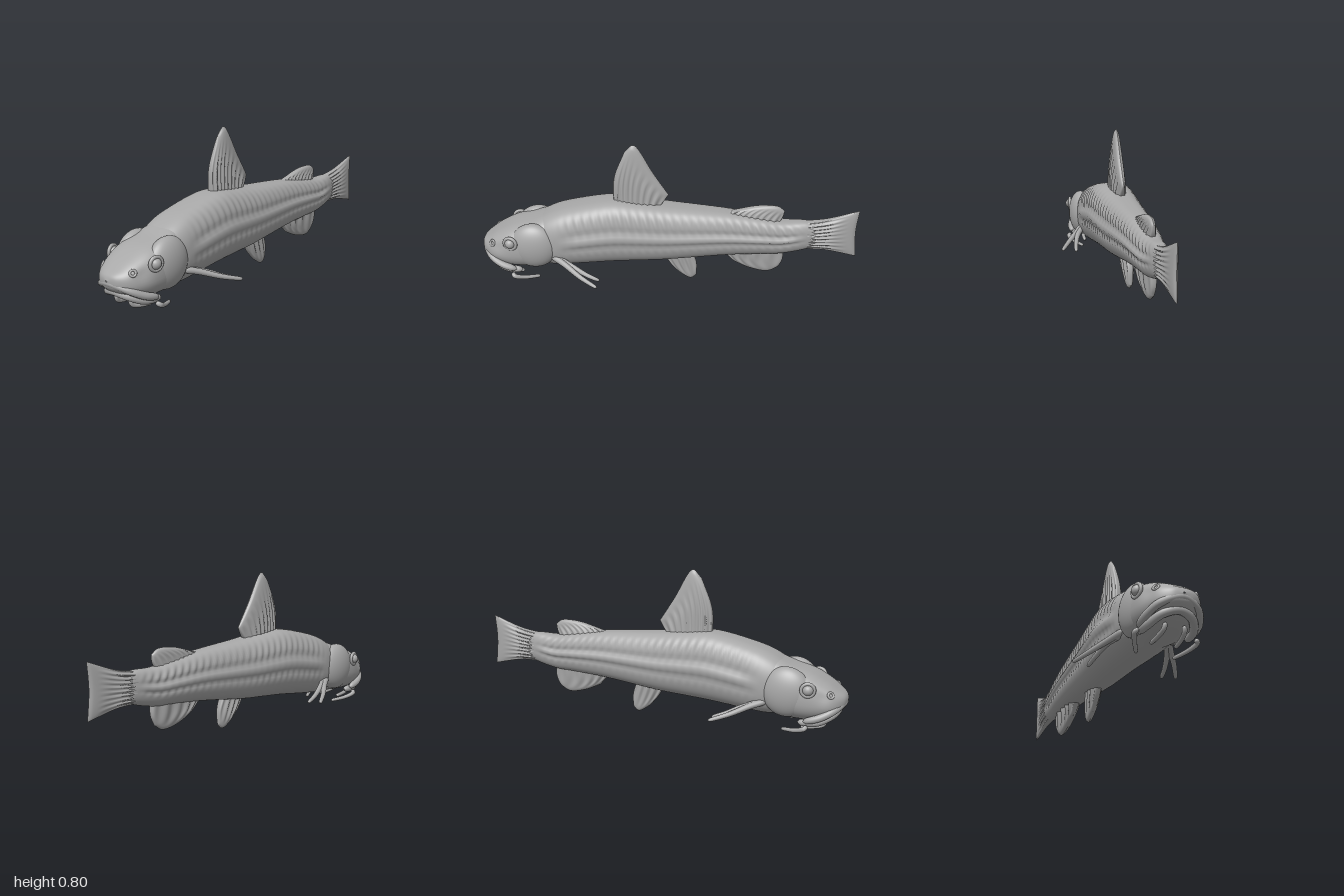
import * as THREE from 'three';

const skin = new THREE.MeshStandardMaterial({ color: 0xa8a8a8 });
skin.name = 'grey skin';

const v3 = (x, y, z = 0) => new THREE.Vector3(x, y, z);
const spow = (n, p) => Math.sign(n) * Math.pow(Math.abs(n), p);
const bump = (t, c, w) => Math.exp(-(((t - c) / w) ** 2));
const spline = pts => new THREE.CatmullRomCurve3(pts, false, 'catmullrom', 0.5);

// Smooth skin over rings: point(s, a) with s from 0 to 1 and a around the ring
function skinRings(point, rings, sides) {
  const pos = [], index = [], mid = v3(0, 0);
  for (let i = 0; i <= rings; i++) {
    for (let j = 0; j < sides; j++) {
      const p = point(i / rings, (j / sides) * Math.PI * 2);
      pos.push(p.x, p.y, p.z);
      mid.add(p);
    }
  }
  mid.divideScalar(pos.length / 3);
  const at = k => v3(pos[3 * k], pos[3 * k + 1], pos[3 * k + 2]).sub(mid);
  let volume = 0;
  const face = (a, b, c) => {
    index.push(a, b, c);
    volume += at(a).dot(at(b).cross(at(c)));
  };
  for (let i = 0; i < rings; i++) {
    for (let j = 0; j < sides; j++) {
      const k = (j + 1) % sides;
      const a = i * sides + j, b = i * sides + k, c = a + sides, d = b + sides;
      face(a, b, c);
      face(b, d, c);
    }
  }
  if (volume < 0) index.reverse(); // keep faces outward
  const g = new THREE.BufferGeometry();
  g.setAttribute('position', new THREE.Float32BufferAttribute(pos, 3));
  g.setIndex(index);
  g.computeVertexNormals();
  return g;
}

// Boxy oval hull through stations [x, top, bottom, half width]
function hull(stations, rings, sides, relief) {
  const upper = spline(stations.map(s => v3(s[0], s[1], s[3])));
  const lower = spline(stations.map(s => v3(s[0], s[2])));
  return skinRings((s, a) => {
    const u = upper.getPoint(s), l = lower.getPoint(s);
    const t = spow(Math.sin(a), 0.85);
    const y = (u.y + l.y) / 2 + (t * (u.y - l.y)) / 2;
    const z = u.z * spow(Math.cos(a), t > 0 ? 0.65 : 0.8);
    return v3(u.x, y, z + Math.sign(z) * relief(u.x, t) * Math.min(1, Math.abs(z) / 0.03));
  }, rings, sides);
}

// Thick fin through rows of [x, y] from root to rim, with raised rays
function fin(rows, thick, thin, rays) {
  const curves = rows.map(r => spline(r.map(p => v3(p[0], p[1]))));
  return skinRings((s, a) => {
    const u = (1 - Math.cos(a)) / 2;
    const p = spline(curves.map(c => c.getPoint(u))).getPoint(s);
    const ray = 1 + 0.22 * Math.cos(u * rays * Math.PI * 2) * Math.sin(Math.PI * Math.min(1, s + 0.15));
    const w = (thick + (thin - thick) * s) * Math.sqrt(1 - s ** 10);
    p.z = w * spow(Math.sin(a), 0.6) * ray;
    return p;
  }, 30, 96);
}

// Round strand with tapered, closed ends
function strand(points, r0, r1) {
  const c = spline(points.map(p => v3(...p)));
  const frames = c.computeFrenetFrames(40, false);
  return skinRings((s, a) => {
    const k = Math.round(s * 40);
    const r = (r0 + (r1 - r0) * s) * Math.sqrt(Math.max(0, 1 - Math.abs(2 * s - 1) ** 14));
    return c.getPointAt(s)
      .addScaledVector(frames.normals[k], r * Math.cos(a))
      .addScaledVector(frames.binormals[k], r * Math.sin(a));
  }, 40, 12);
}

export function createModel() {
  const fish = new THREE.Group();
  fish.name = 'catfish';
  const add = (name, geometry, x = 0, y = 0, z = 0) => {
    const m = new THREE.Mesh(geometry, skin);
    m.name = name;
    m.position.set(x, y, z);
    fish.add(m);
    return m;
  };

  // Trunk with lateral ridge and muscle ribs
  const ribs = (x, t) => {
    const fade = THREE.MathUtils.smoothstep(x, -0.6, -0.45) * (1 - THREE.MathUtils.smoothstep(x, 0.6, 0.75));
    const wave = Math.sin((x + 0.05 * t) * 140);
    return fade * (0.011 * bump(t, 0.02, 0.11) - 0.006 * bump(t, 0.27, 0.12) - 0.005 * bump(t, -0.22, 0.1)
      + wave * (0.0035 * bump(t, 0.55, 0.28) + 0.002 * bump(t, -0.28, 0.13)));
  };
  add('body', hull([
    [-0.74, 0.34, 0.13, 0.1], [-0.62, 0.41, 0.1, 0.134], [-0.5, 0.45, 0.105, 0.138],
    [-0.3, 0.488, 0.125, 0.134], [-0.15, 0.478, 0.135, 0.126], [0, 0.46, 0.145, 0.115],
    [0.3, 0.433, 0.178, 0.09], [0.48, 0.405, 0.19, 0.076], [0.6, 0.385, 0.195, 0.062],
    [0.72, 0.385, 0.22, 0.044], [0.8, 0.36, 0.25, 0.02], [0.84, 0.31, 0.3, 0.003],
  ], 300, 72, ribs));

  // Head with a shallow brow hollow
  add('head', hull([
    [-0.998, 0.212, 0.206, 0.004], [-0.985, 0.237, 0.17, 0.055], [-0.95, 0.263, 0.14, 0.1],
    [-0.9, 0.297, 0.112, 0.128], [-0.82, 0.337, 0.095, 0.148], [-0.72, 0.365, 0.095, 0.15],
    [-0.63, 0.398, 0.105, 0.128], [-0.57, 0.395, 0.13, 0.1], [-0.54, 0.3, 0.28, 0.004],
  ], 70, 56, (x, t) => -0.008 * bump(x, -0.89, 0.04) * bump(t, 0.35, 0.3)));

  // Lips wrapping around the snout
  const wrap = half => [...half, ...half.slice(0, -1).reverse().map(([x, y, z]) => [x, y, -z])];
  add('upperLip', strand(wrap([[-0.8, 0.11, 0.134], [-0.88, 0.135, 0.126],
    [-0.945, 0.17, 0.088], [-0.979, 0.196, 0]]), 0.019, 0.019));
  add('lowerLip', strand(wrap([[-0.77, 0.1, 0.118], [-0.86, 0.103, 0.108],
    [-0.925, 0.13, 0.07], [-0.95, 0.147, 0]]), 0.02, 0.02));

  // Dorsal, adipose, anal, pelvic and tail fins
  add('dorsalFin', fin([
    [[-0.285, 0.44], [-0.18, 0.45], [-0.06, 0.43]],
    [[-0.284, 0.6], [-0.17, 0.6], [-0.025, 0.48]],
    [[-0.225, 0.762], [-0.168, 0.795], [-0.08, 0.645], [0, 0.52]],
  ], 0.036, 0.019, 9));
  add('adiposeFin', fin([
    [[0.28, 0.4], [0.42, 0.38], [0.57, 0.36]],
    [[0.3, 0.425], [0.45, 0.43], [0.595, 0.405]],
    [[0.34, 0.436], [0.46, 0.468], [0.56, 0.472], [0.605, 0.445]],
  ], 0.03, 0.018, 9));
  add('analFin', fin([
    [[0.27, 0.22], [0.42, 0.22], [0.61, 0.23]],
    [[0.31, 0.17], [0.43, 0.145], [0.61, 0.15]],
    [[0.35, 0.125], [0.44, 0.085], [0.53, 0.067], [0.588, 0.095]],
  ], 0.034, 0.019, 5));
  add('pelvicFin', fin([
    [[-0.03, 0.17], [0.05, 0.18], [0.13, 0.17]],
    [[0.01, 0.1], [0.08, 0.09], [0.152, 0.1]],
    [[0.06, 0.04], [0.12, 0.004], [0.152, 0.025]],
  ], 0.03, 0.018, 4));
  add('tailFin', fin([
    [[0.7, 0.38], [0.7, 0.305], [0.7, 0.225]],
    [[0.83, 0.402], [0.83, 0.31], [0.83, 0.218]],
    [[0.99, 0.458], [0.98, 0.325], [0.992, 0.18]],
  ], 0.04, 0.016, 9));

  // Paired parts on both flanks
  for (const [side, k] of [['left', 1], ['right', -1]]) {
    const flip = pts => pts.map(([x, y, z]) => [x, y, z * k]);
    const cover = add(side + 'GillCover', new THREE.SphereGeometry(1, 40, 28), -0.705, 0.243, 0.098 * k);
    cover.scale.set(0.125, 0.128, 0.066);
    const socket = add(side + 'EyeSocket', new THREE.TorusGeometry(0.032, 0.009, 12, 32), -0.822, 0.277, 0.143 * k);
    socket.rotation.y = -0.2 * k;
    add(side + 'Eye', new THREE.SphereGeometry(0.028, 24, 18), -0.822, 0.277, 0.14 * k);
    const nostril = add(side + 'Nostril', new THREE.TorusGeometry(0.014, 0.006, 10, 20), -0.927, 0.25, 0.1 * k);
    nostril.rotation.set(-0.5 * k, -0.6 * k, 0);
    // Forked pectoral fin
    add(side + 'PectoralSpine', strand(flip([[-0.61, 0.185, 0.11], [-0.54, 0.165, 0.152],
      [-0.45, 0.13, 0.215], [-0.355, 0.103, 0.27]]), 0.018, 0.01));
    add(side + 'PectoralRay', strand(flip([[-0.59, 0.18, 0.11], [-0.5, 0.155, 0.155],
      [-0.42, 0.12, 0.18], [-0.35, 0.095, 0.192]]), 0.018, 0.01));
    // Whisker-like barbels under the jaw
    add(side + 'OuterBarbel', strand(flip([[-0.82, 0.09, 0.135], [-0.81, 0.078, 0.152],
      [-0.76, 0.058, 0.13], [-0.685, 0.044, 0.09]]), 0.013, 0.009));
    add(side + 'InnerBarbel', strand(flip([[-0.9, 0.105, 0.045], [-0.885, 0.075, 0.05],
      [-0.84, 0.062, 0.056], [-0.775, 0.055, 0.06]]), 0.012, 0.01));
  }
  return fish;
}
